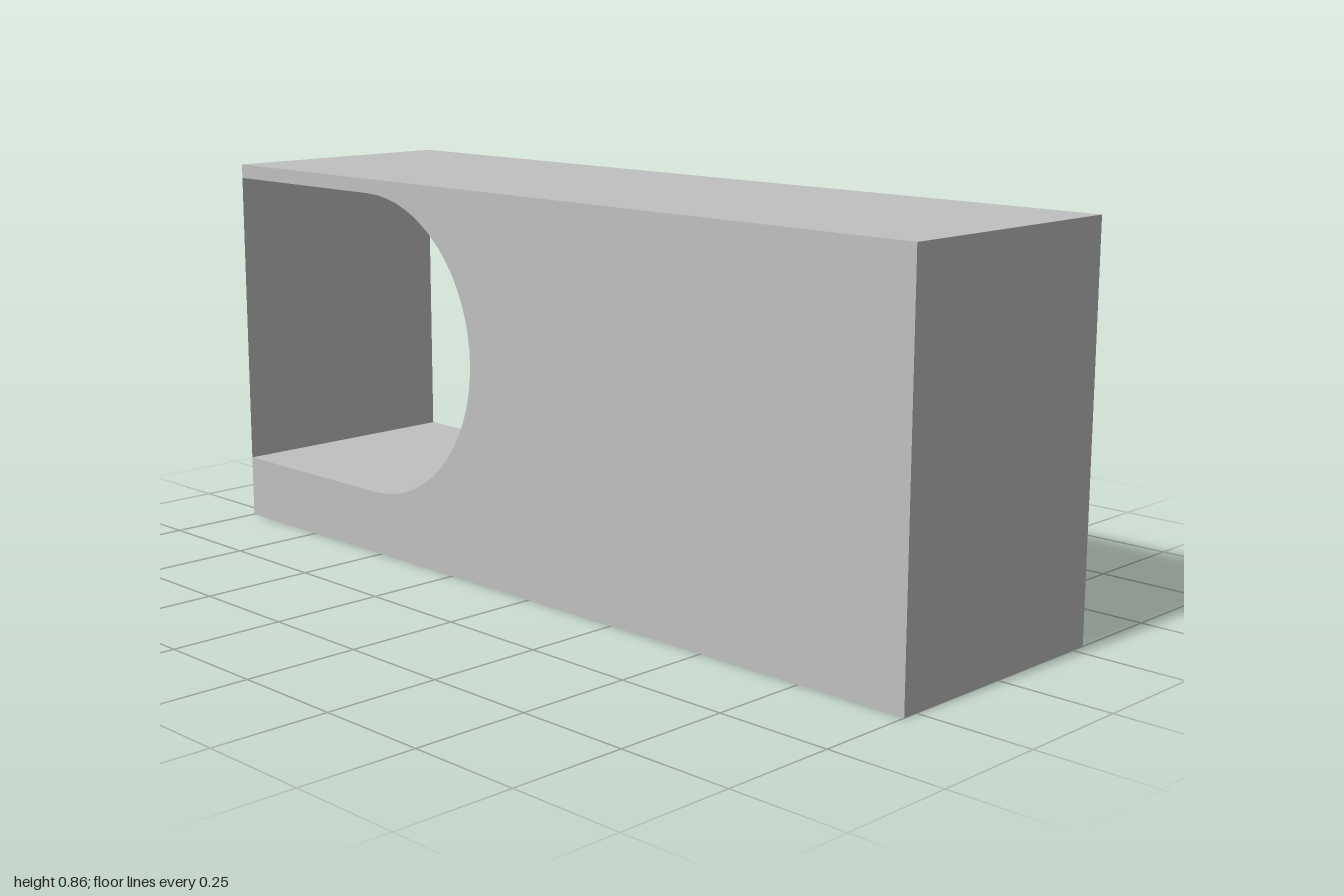
import * as THREE from 'three';

const WIDTH = 0.571, HEIGHT = 0.857, HALF_LENGTH = 1;
const SLOT = { centre: 0.52, y: 0.484, radius: 0.341 };

export function createModel() {
  const model = new THREE.Group();
  const grey = new THREE.MeshStandardMaterial({ color: 0xc0c0c0 });
  grey.name = 'grey';
  grey.side = THREE.DoubleSide;

  // Block with a round-ended slot through its sides, open towards the back.
  // The profile runs front to back along its own x.
  const profile = new THREE.Shape();
  profile.moveTo(-HALF_LENGTH, 0);
  profile.lineTo(HALF_LENGTH, 0);
  profile.lineTo(HALF_LENGTH, SLOT.y - SLOT.radius);
  profile.lineTo(SLOT.centre, SLOT.y - SLOT.radius);
  profile.absarc(SLOT.centre, SLOT.y, SLOT.radius, -Math.PI / 2, -Math.PI * 1.5, true);
  profile.lineTo(HALF_LENGTH, SLOT.y + SLOT.radius);
  profile.lineTo(HALF_LENGTH, HEIGHT);
  profile.lineTo(-HALF_LENGTH, HEIGHT);
  profile.closePath();

  const blockGeometry = new THREE.ExtrudeGeometry(profile, {
    depth: WIDTH, bevelEnabled: false, curveSegments: 16,
  });
  blockGeometry.translate(0, 0, -WIDTH / 2);
  blockGeometry.rotateY(Math.PI / 2);
  const block = new THREE.Mesh(blockGeometry, grey);
  block.name = 'slottedBlock';
  model.add(block);

  // Paper-thin wall closing the back end of the slot
  const wall = new THREE.Mesh(new THREE.PlaneGeometry(WIDTH, SLOT.radius * 2), grey);
  wall.name = 'backWall';
  wall.rotation.y = Math.PI;
  wall.position.set(0, SLOT.y, -HALF_LENGTH);
  model.add(wall);

  return model;
}
